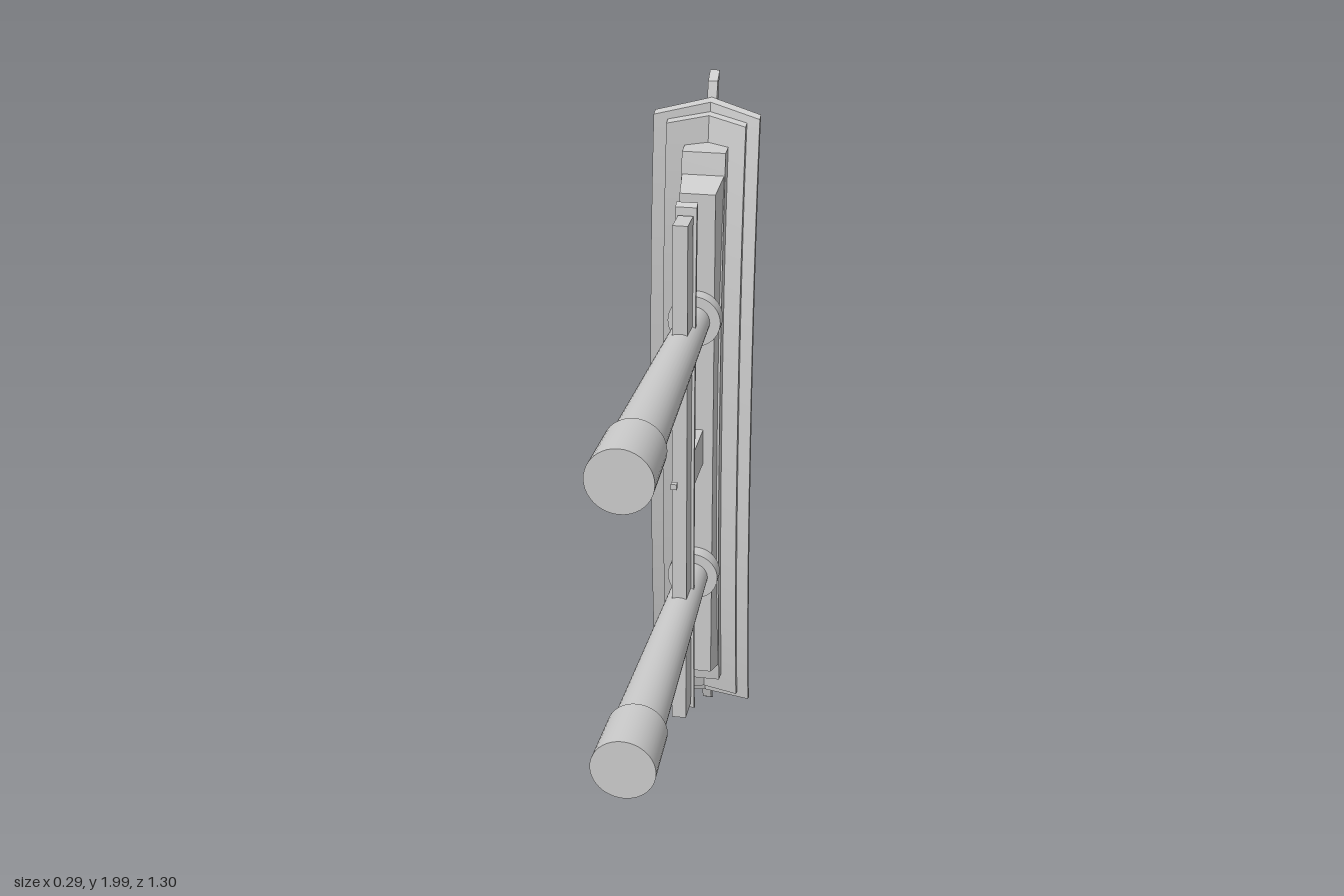
import * as THREE from 'three';
import { toCreasedNormals } from 'three/addons/utils/BufferGeometryUtils.js';

const material = new THREE.MeshStandardMaterial({ color: 0xcccccc });

function mesh(name, geometry, x = 0, y = 0, z = 0) {
  const m = new THREE.Mesh(geometry, material);
  m.name = name;
  m.position.set(x, y, z);
  return m;
}

// Mirrors a half profile (x >= 0, listed from top to bottom) and runs it along z.
// "rise" lifts the ends; "lean" makes the end faces slant outward with height.
function beam(name, half, halfLength, rise = () => 0, lean = 0) {
  const left = half.filter(([x]) => x > 0).map(([x, y]) => [-x, y]).reverse();
  const shape = new THREE.Shape([...half, ...left].map(([x, y]) => new THREE.Vector2(x, y)));
  const geo = new THREE.ExtrudeGeometry(shape, { depth: 2 * halfLength, steps: 32, bevelEnabled: false });
  geo.translate(0, 0, -halfLength);
  const base = Math.min(...half.map(([, y]) => y));
  const p = geo.attributes.position;
  for (let i = 0; i < p.count; i++) {
    const y = p.getY(i);
    const z = p.getZ(i) * (1 + lean * (y - base) / halfLength);
    p.setXYZ(i, p.getX(i), y + rise(Math.abs(z)), z);
  }
  return mesh(name, toCreasedNormals(geo, 0.3));
}

// Upward sweep shared by the roof layers, and a sharper one for the ridge
const roofRise = (s) => 0.08 * s ** 2.4;
const ridgeRise = (s) => roofRise(s) + 0.02 * s ** 8;

// One round pillar with foot sleeve, top collar and the two wedges at the tie beam
function pillar(name, z) {
  const g = new THREE.Group();
  g.name = name;
  g.position.z = z;
  g.add(
    mesh('footSleeve', new THREE.CylinderGeometry(0.078, 0.083, 0.18, 40), 0, -0.565),
    mesh('shaft', new THREE.CylinderGeometry(0.042, 0.067, 0.855, 40), 0, -0.0475),
    mesh('collar', new THREE.CylinderGeometry(0.072, 0.072, 0.045, 40), 0, 0.3575),
  );
  for (const side of [-1, 1]) {
    const wedge = mesh('wedge', new THREE.BoxGeometry(0.036, 0.018, 0.07), 0, 0.21, side * 0.066);
    wedge.rotation.x = -side * 0.3;
    g.add(wedge);
  }
  return g;
}

export function createModel() {
  const model = new THREE.Group();
  model.name = 'gate';

  // The gate is modelled upright with its span along z, then laid over
  const gate = new THREE.Group();
  gate.name = 'uprightGate';
  gate.rotation.x = -Math.PI / 2;
  gate.position.y = 1.003;
  model.add(gate);

  gate.add(pillar('upperPillar', 0.392), pillar('lowerPillar', -0.392));

  // Tie beam with its thin curved cap, and the central strut
  gate.add(
    mesh('tieBeam', new THREE.BoxGeometry(0.04, 0.08, 1.47), 0, 0.16, 0),
    beam('tieBeamCap', [[0.028, 0.203], [0.028, 0.188]], 0.755, (s) => 0.02 * (s / 0.75) ** 2, 0.6),
    mesh('centreStrut', new THREE.BoxGeometry(0.04, 0.19, 0.105), 0, 0.29, 0),
    mesh('smallStud', new THREE.BoxGeometry(0.016, 0.016, 0.016), 0, 0.04, 0.042),
  );

  // Straight lintel and the curved layers stacked above it
  gate.add(
    beam('lintel', [[0.057, 0.465], [0.048, 0.38]], 0.735, () => 0, 0.3),
    beam('upperLintel', [[0, 0.5], [0.059, 0.475], [0.059, 0.425]], 0.82, roofRise, 0.1),
    beam('innerRoof', [[0, 0.515], [0.107, 0.467], [0.107, 0.446], [0, 0.494]], 0.885, roofRise, 0.25),
    beam('outerRoof', [[0, 0.536], [0.143, 0.472], [0.143, 0.452], [0, 0.514]], 0.905, roofRise, 0.35),
    beam('ridge', [[0.013, 0.55], [0.013, 0.524]], 0.975, ridgeRise, 0.85),
  );
  return model;
}
